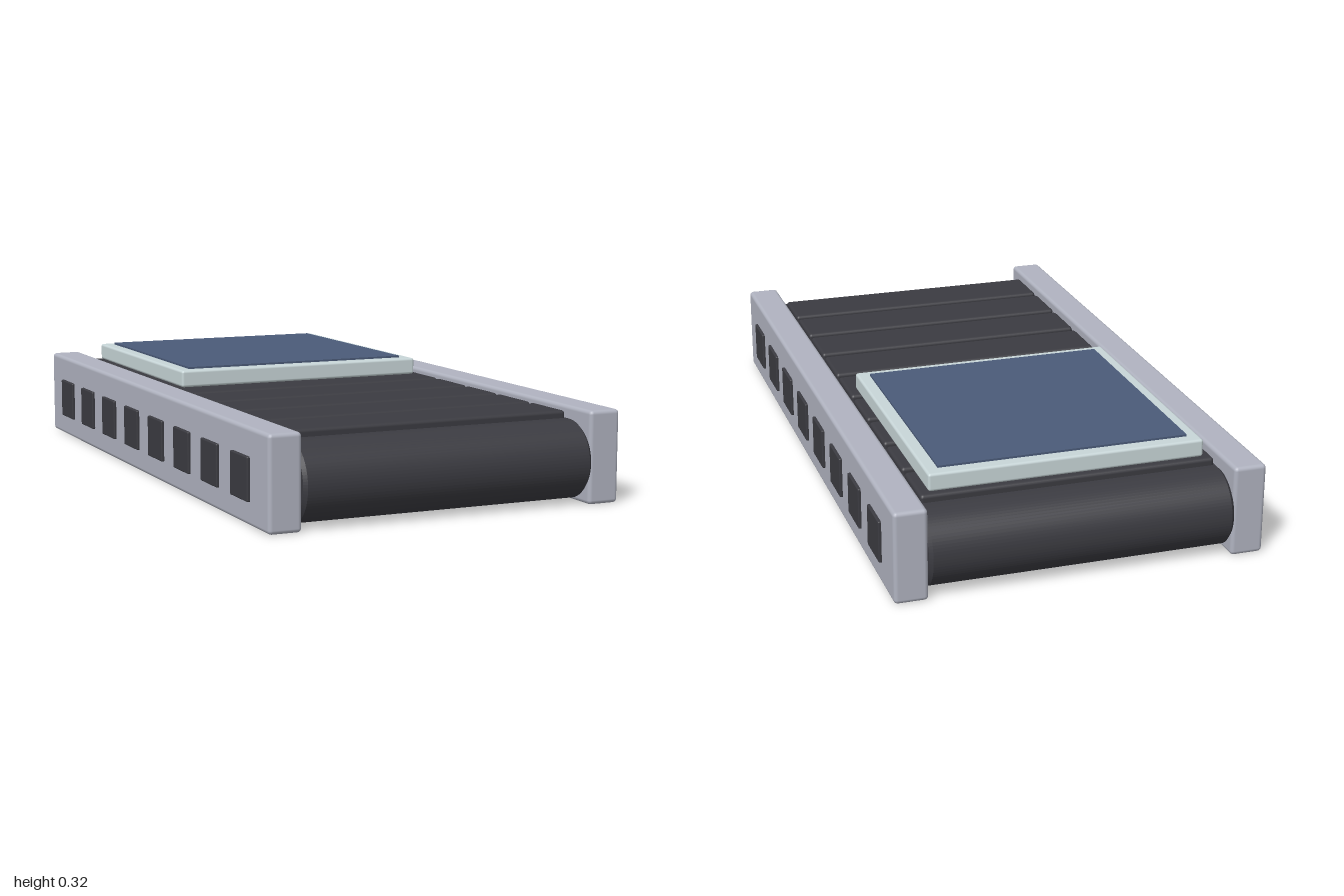
import * as THREE from 'three';
import { RoundedBoxGeometry } from 'three/addons/geometries/RoundedBoxGeometry.js';

const material = (name, color) => {
  const m = new THREE.MeshStandardMaterial({ color });
  m.name = name;
  return m;
};

export function createModel() {
  const model = new THREE.Group();
  model.name = 'conveyorBelt';

  const rubber = material('dark rubber', 0x3b3b41);
  const railGrey = material('rail grey', 0xb0b3c0);
  const trim = material('pale trim', 0xc8d6d8);
  const glass = material('blue panel', 0x4b5b79);

  const add = (name, geometry, mat, x, y, z) => {
    const mesh = new THREE.Mesh(geometry, mat);
    mesh.name = name;
    mesh.position.set(x, y, z);
    model.add(mesh);
    return mesh;
  };
  const block = (name, w, h, d, r, mat, x, y, z) =>
    add(name, new RoundedBoxGeometry(w, h, d, 2, r), mat, x, y, z);

  // Belt loop: a stadium profile extruded across the width
  const radius = 0.115, reach = 0.885, bevel = 0.01;
  const profile = new THREE.Shape();
  const r = radius - bevel;
  profile.absarc(reach, 0, r, -Math.PI / 2, Math.PI / 2);
  profile.absarc(-reach, 0, r, Math.PI / 2, Math.PI * 1.5);
  profile.closePath();
  const width = 0.9;
  const beltGeometry = new THREE.ExtrudeGeometry(profile, {
    depth: width - 2 * bevel, bevelEnabled: true, bevelSize: bevel,
    bevelThickness: bevel, bevelSegments: 1, curveSegments: 20,
  });
  beltGeometry.translate(0, 0, -width / 2 + bevel);
  beltGeometry.rotateY(Math.PI / 2);
  add('belt', beltGeometry, rubber, 0, 0.125, 0);

  // Raised slats across the top of the belt
  for (let i = -4; i <= 4; i++) {
    block('slat', 0.875, 0.05, 0.172, 0.01, rubber, 0, 0.237, i * 0.1955);
  }

  // Side rails with square studs
  for (const side of [1, -1]) {
    block(side > 0 ? 'leftRail' : 'rightRail', 0.098, 0.273, 1.968, 0.012, railGrey,
      side * 0.498, 0.1385, 0);
    for (let i = 0; i < 8; i++) {
      block('railStud', 0.03, 0.125, 0.125, 0.004, rubber,
        side * 0.541, 0.132, (i - 3.5) * 0.2263);
    }
  }

  // Panel lying on the rear half of the belt
  block('panelFrame', 0.82, 0.053, 0.82, 0.008, trim, 0, 0.2885, -0.44);
  add('panelFace', new THREE.BoxGeometry(0.745, 0.008, 0.745), glass, 0, 0.317, -0.44);

  return model;
}
